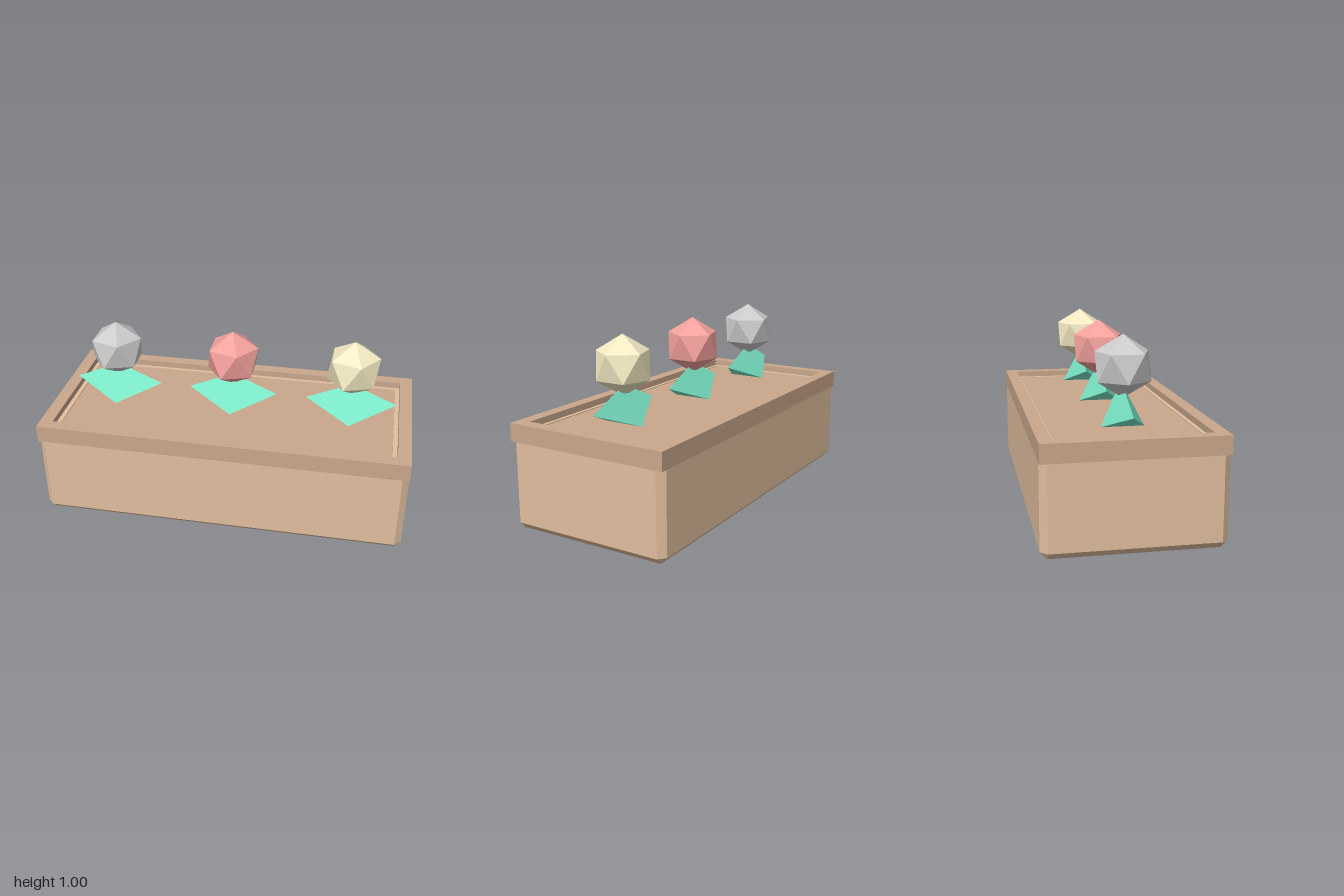
import * as THREE from 'three';
import { ConvexGeometry } from 'three/addons/geometries/ConvexGeometry.js';

const material = (color) => new THREE.MeshStandardMaterial({ color, flatShading: true });

function addMesh(parent, name, geometry, mat) {
  const mesh = new THREE.Mesh(geometry, mat);
  mesh.name = name;
  parent.add(mesh);
  return mesh;
}

// Rectangular frame lying flat, from y0 to y1
function frame(outX, outZ, inX, inZ, y0, y1) {
  const rect = (path, x, z) => path.moveTo(-x, -z).lineTo(x, -z).lineTo(x, z).lineTo(-x, z).closePath();
  const shape = rect(new THREE.Shape(), outX, outZ);
  shape.holes.push(rect(new THREE.Path(), inX, inZ));
  const g = new THREE.ExtrudeGeometry(shape, { depth: y1 - y0, bevelEnabled: false });
  return g.rotateX(-Math.PI / 2).translate(0, y0, 0);
}

// Box with bevelled uprights and bevelled bottom edges
function troughGeometry() {
  const points = [];
  for (const sx of [-1, 1]) for (const sz of [-1, 1]) {
    const add = (x, y, z) => points.push(new THREE.Vector3(sx * x, y, sz * z));
    add(0.965, 0, 0.418);
    for (const y of [0.037, 0.465]) {
      add(1, y, 0.418);
      add(0.965, y, 0.453);
    }
  }
  return new ConvexGeometry(points);
}

// Pair of leaves: two slanted diamonds sharing apex and side tips
function leafGeometry() {
  const top = [0, 0.745, 0], left = [0.247, 0.637, 0], right = [-0.247, 0.637, 0];
  const front = [0, 0.542, 0.11], back = [0, 0.542, -0.11];
  const slant = [0, 0.475, 0.88], slantBack = [0, 0.475, -0.88];
  const under = [0.36, -0.93, 0], underRight = [-0.36, -0.93, 0];
  const faces = [
    [top, front, left, slant], [top, right, front, slant],
    [top, left, back, slantBack], [top, back, right, slantBack],
    [left, front, back, under], [right, back, front, underRight],
  ];
  const positions = [], normals = [];
  for (const [a, b, c, n] of faces) {
    positions.push(...a, ...b, ...c);
    normals.push(...n, ...n, ...n);
  }
  const g = new THREE.BufferGeometry();
  g.setAttribute('position', new THREE.Float32BufferAttribute(positions, 3));
  g.setAttribute('normal', new THREE.Float32BufferAttribute(normals, 3));
  return g;
}

export function createModel() {
  const model = new THREE.Group();
  model.name = 'flowerPlanter';
  const wood = material(0xe0be9e), darkWood = material(0xc9a78c);

  // Planter
  addMesh(model, 'trough', troughGeometry(), wood);
  addMesh(model, 'rim', frame(1, 0.453, 0.93, 0.385, 0.465, 0.56), darkWood);
  addMesh(model, 'innerLip', frame(0.93, 0.385, 0.905, 0.365, 0.465, 0.525), wood);
  addMesh(model, 'soil', new THREE.BoxGeometry(1.81, 0.055, 0.73), darkWood).position.y = 0.4925;

  // Flowers: the blossom stands on a vertex, one upper corner towards +x
  const blossom = new THREE.IcosahedronGeometry(0.157, 0)
    .rotateX(-Math.atan((1 + Math.sqrt(5)) / 2))
    .rotateY(Math.PI / 2);
  const leaves = leafGeometry();
  const green = new THREE.MeshStandardMaterial({ color: 0x7eeccb });
  [0xcccccc, 0xf5a29e, 0xf5ebc4].forEach((color, i) => {
    const flower = new THREE.Group();
    flower.name = 'flower' + (i + 1);
    flower.position.x = (i - 1) * 0.66;
    addMesh(flower, 'leaves', leaves, green);
    addMesh(flower, 'blossom', blossom, material(color)).position.y = 0.843;
    model.add(flower);
  });

  return model;
}
